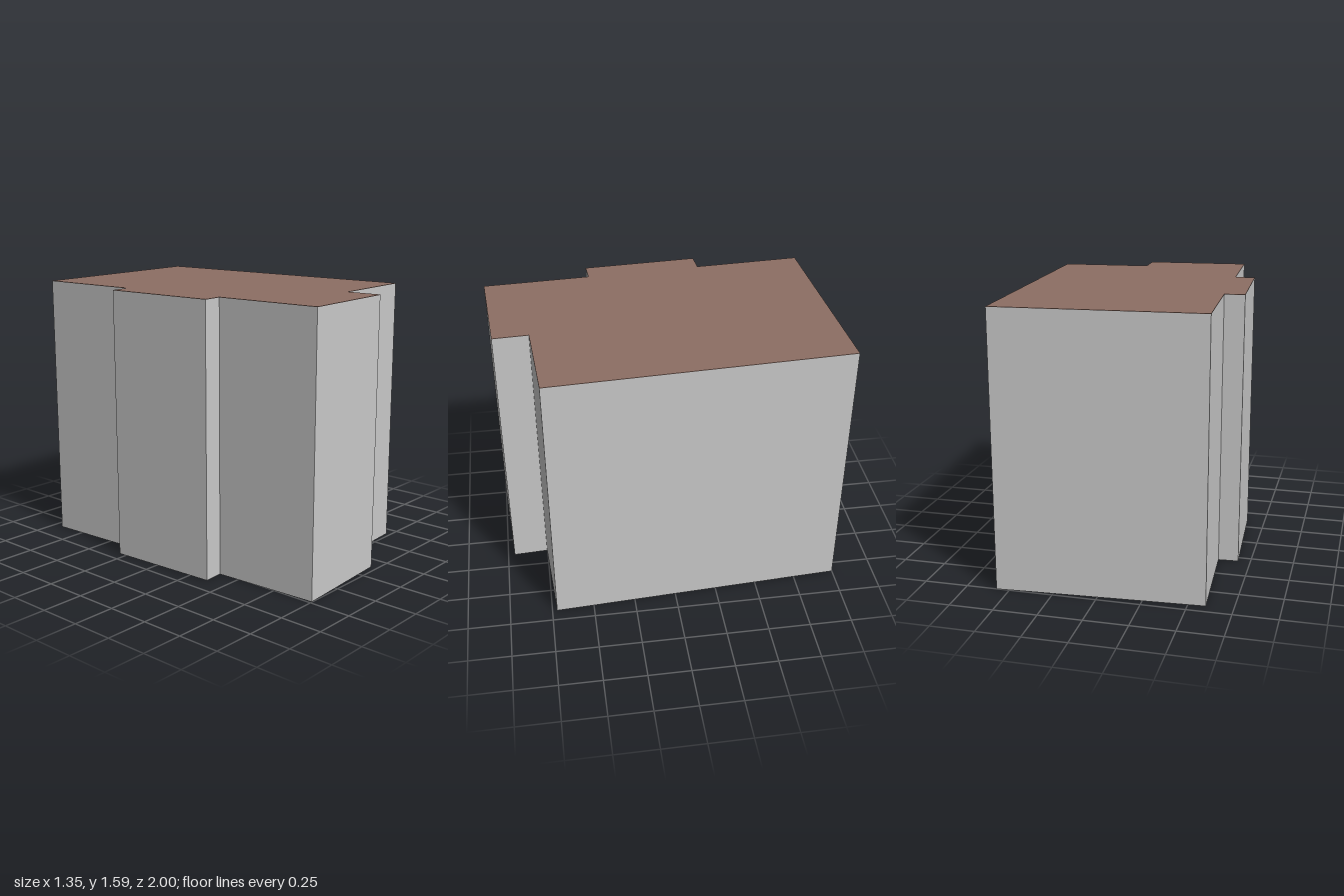
import * as THREE from 'three';

const HEIGHT = 1.592;

// Building outline as [x, z] corners
const OUTLINE = [
  [-0.598, -0.934], [0.575, -1], [0.675, 0.722], [0.132, 0.754], [0.144, 0.96],
  [-0.485, 0.998], [-0.521, 0.369], [-0.639, 0.376], [-0.678, -0.301], [-0.561, -0.308],
];

export function createModel() {
  const model = new THREE.Group();
  model.name = 'building';

  const wallGrey = new THREE.MeshStandardMaterial({ color: 0xc8c8c8 });
  wallGrey.name = 'wallGrey';
  const roofBrown = new THREE.MeshStandardMaterial({ color: 0x8d6e63 });
  roofBrown.name = 'roofBrown';

  const footprint = new THREE.Shape(OUTLINE.map(([x, z]) => new THREE.Vector2(x, -z)));

  // Solid block with walls and floor
  const block = new THREE.ExtrudeGeometry(footprint, { depth: HEIGHT - 0.002, bevelEnabled: false });
  block.rotateX(-Math.PI / 2);
  const walls = new THREE.Mesh(block, wallGrey);
  walls.name = 'walls';

  // Thin flat roof covering
  const cover = new THREE.ExtrudeGeometry(footprint, { depth: 0.002, bevelEnabled: false });
  cover.rotateX(-Math.PI / 2);
  const roof = new THREE.Mesh(cover, roofBrown);
  roof.name = 'roof';
  roof.position.y = HEIGHT - 0.002;

  model.add(walls, roof);
  return model;
}
